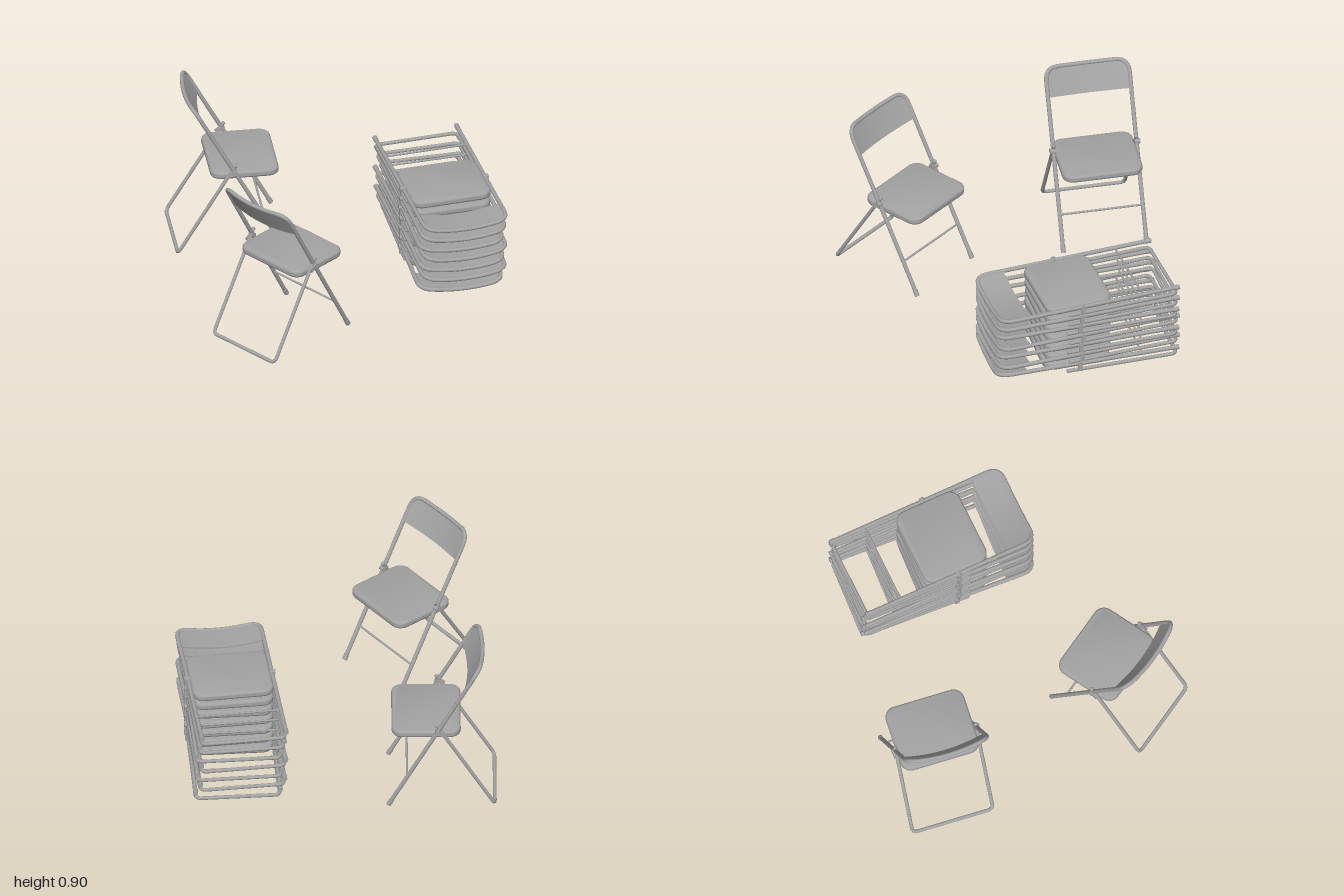
import * as THREE from 'three';
import { toCreasedNormals } from 'three/addons/utils/BufferGeometryUtils.js';

const W = 0.228;          // half width of the tube frame
const LENGTH = 1.003;     // frame length from foot to top
const CORNER = 0.06;      // top corner radius
const PIVOT = 0.55;       // hinge distance from the foot
const bow = x => 0.028 * Math.max(0, 1 - (x / W) ** 2);

const grey = new THREE.MeshStandardMaterial({ color: 0xa3a3a3 });
grey.name = 'grey metal';

// U-shaped tube: legs along y from `open` to `closed`, rounded corners, optional bow
function uTube(halfW, open, closed, corner, radius, bend) {
  const dir = Math.sign(closed - open), half = [];
  const cy = closed - dir * corner, cx = halfW - corner;
  for (let i = 0; i < 5; i++) half.push([halfW, open + (cy - open) * i / 5]);
  for (let i = 0; i <= 6; i++) {
    const a = i / 6 * Math.PI / 2;
    half.push([cx + corner * Math.cos(a), cy + dir * corner * Math.sin(a)]);
  }
  half.push([cx * 0.66, closed], [cx * 0.33, closed]);
  const all = [...half, [0, closed], ...half.slice().reverse().map(([x, y]) => [-x, y])];
  const curve = new THREE.CatmullRomCurve3(all.map(([x, y]) => new THREE.Vector3(x, y, bend ? bow(x) : 0)));
  return new THREE.TubeGeometry(curve, 110, radius, 10);
}

// Curved back panel with rounded upper corners
function panelGeometry() {
  const bottom = 0.84, top = LENGTH;
  const g = new THREE.BoxGeometry(2, top - bottom, 0.008, 20, 14, 1);
  const p = g.attributes.position;
  for (let i = 0; i < p.count; i++) {
    const y = p.getY(i) + (top + bottom) / 2;
    const over = Math.min(CORNER, Math.max(0, y - (top - CORNER)));
    const hw = W - CORNER + Math.sqrt(CORNER ** 2 - over ** 2);
    const x = p.getX(i) * hw;
    p.setXYZ(i, x, y, p.getZ(i) + bow(x));
  }
  g.computeVertexNormals();
  return g;
}

// Padded seat slab with rounded corners and edges, centred on its own origin
function seatGeometry() {
  const b = 0.015, x = 0.22 - b, y = 0.186 - b, r = 0.045;
  const s = new THREE.Shape();
  s.moveTo(-x + r, -y);
  s.lineTo(x - r, -y);
  s.absarc(x - r, -y + r, r, -Math.PI / 2, 0);
  s.absarc(x - r, y - r, r, 0, Math.PI / 2);
  s.absarc(-x + r, y - r, r, Math.PI / 2, Math.PI);
  s.absarc(-x + r, -y + r, r, Math.PI, Math.PI * 1.5);
  const g = new THREE.ExtrudeGeometry(s, {
    depth: 0.014, bevelThickness: b, bevelSize: b, bevelSegments: 4, curveSegments: 8,
  });
  g.translate(0, 0, -0.007).rotateX(-Math.PI / 2);
  return toCreasedNormals(g, 0.8);
}

function mesh(name, geometry, x = 0, y = 0, z = 0) {
  const m = new THREE.Mesh(geometry, grey);
  m.name = name;
  m.position.set(x, y, z);
  return m;
}

export function createModel() {
  const geo = {
    frame: uTube(W, 0, LENGTH, CORNER, 0.0115, true),
    legs: uTube(W - 0.002, 0.604, 0, 0.025, 0.01, false),
    panel: panelGeometry(),
    seat: seatGeometry(),
    foot: new THREE.CylinderGeometry(0.0135, 0.0135, 0.035, 12),
    crossbar: new THREE.CylinderGeometry(0.006, 0.006, 2 * W, 8).rotateZ(Math.PI / 2),
    knob: new THREE.CylinderGeometry(0.014, 0.014, 0.03, 12).rotateZ(Math.PI / 2),
    legEnd: new THREE.SphereGeometry(0.011, 10, 8),
    link: new THREE.BoxGeometry(0.006, 0.024, 0.05),
  };

  // One chair facing -z; the folded one lies flat on its back
  function chair(name, folded) {
    const group = new THREE.Group();
    group.name = name;

    const frame = new THREE.Group();
    frame.name = 'backFrame';
    frame.add(
      mesh('frameTube', geo.frame),
      mesh('backPanel', geo.panel),
      mesh('crossbar', geo.crossbar, 0, 0.205, 0),
    );
    const legs = new THREE.Group();
    legs.name = 'rearLegs';
    legs.add(mesh('rearLegTube', geo.legs));

    for (const side of [-1, 1]) {
      frame.add(
        mesh('foot', geo.foot, side * W, 0.0155, 0),
        mesh('hingeKnob', geo.knob, side * (W + 0.004), PIVOT, 0),
        mesh('hingeLink', geo.link, side * (W + 0.012), PIVOT, 0.018),
      );
      legs.add(mesh('legEnd', geo.legEnd, side * (W - 0.002), 0.604, 0));
    }

    const seat = mesh('seat', geo.seat);
    if (folded) {
      frame.position.set(0, 0.053, -0.51);
      frame.rotation.x = Math.PI / 2;
      legs.position.set(0, 0.012, -0.5);
      legs.rotation.x = Math.PI / 2;
      seat.position.set(0, 0.045, 0.045);
    } else {
      frame.position.set(0, 0.01, -0.28);
      frame.rotation.x = 0.499;
      legs.position.set(0, 0.01, 0.29);
      legs.rotation.x = -0.539;
      seat.position.set(0, 0.465, -0.079);
    }
    group.add(frame, legs, seat);
    return group;
  }

  const model = new THREE.Group();
  model.name = 'foldingChairs';

  // Two unfolded chairs
  const straight = chair('openChairStraight', false);
  straight.position.set(0.362, 0, 0.7);
  const turned = chair('openChairTurned', false);
  turned.position.set(-0.572, 0, 0.155);
  turned.rotation.y = -0.665;
  model.add(straight, turned);

  // Stack of folded chairs, each slightly askew
  const stack = new THREE.Group();
  stack.name = 'foldedStack';
  stack.position.set(0.39, 0, -0.52);
  stack.rotation.y = 1.012;
  [-0.035, 0.015, -0.015, 0.025, -0.025, 0.01, 0.03].forEach((twist, i) => {
    const c = chair('foldedChair', true);
    c.position.y = i * 0.0615;
    c.rotation.y = twist;
    stack.add(c);
  });
  model.add(stack);
  return model;
}
